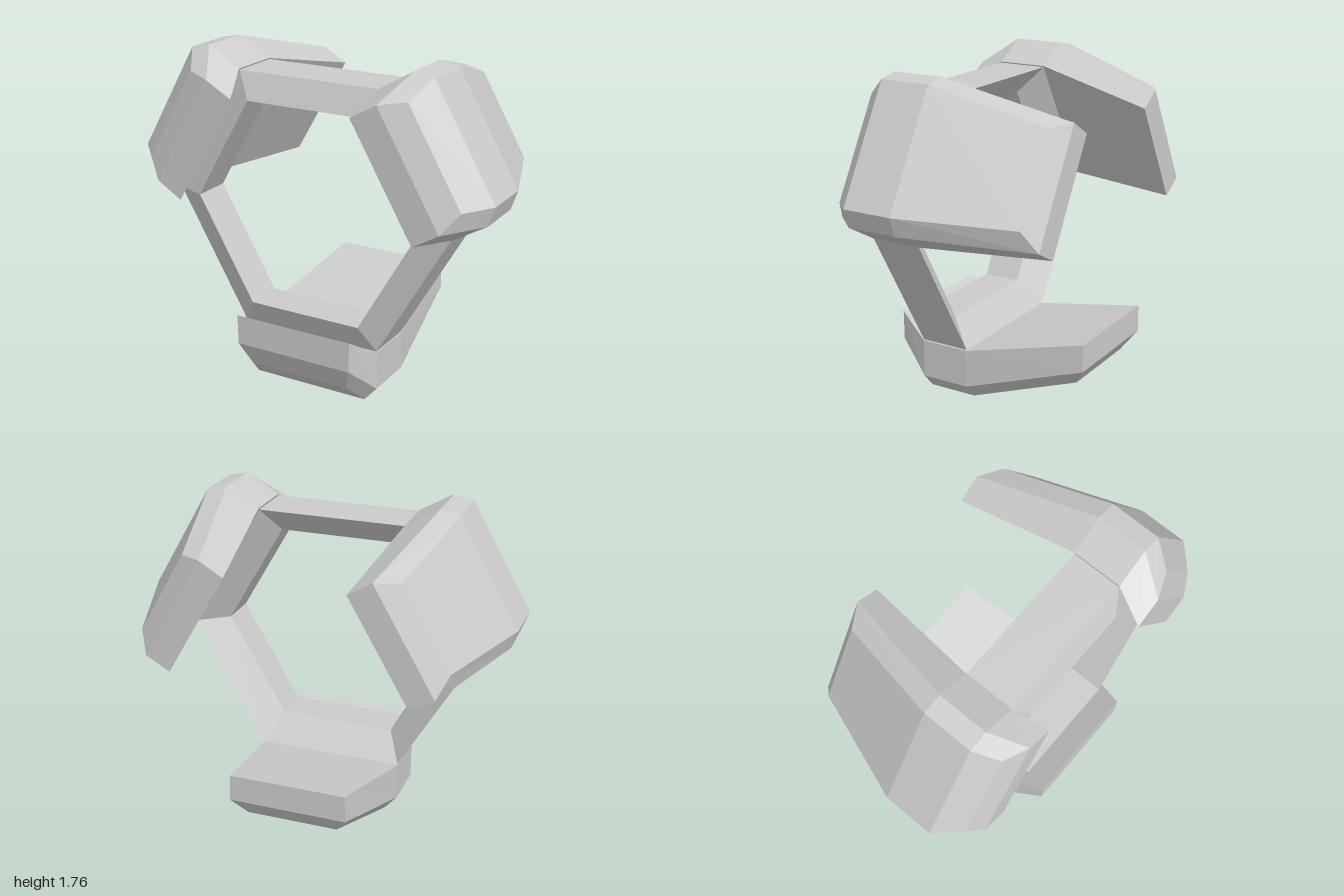
import * as THREE from 'three';

const material = new THREE.MeshStandardMaterial({ color: 0xcccccc, flatShading: true });

// Pad stations from front to back; each holds [z, radius, half width]
// for its inner edge, its side edge and its bevelled outer edge.
const stations = [
  [[0.545, 0.575, 0.332], [0.545, 0.735, 0.33], [0.49, 0.86, 0.28]],
  [[0.37, 0.685, 0.395], [0.37, 0.89, 0.395], [0.37, 0.97, 0.325]],
  [[0.1, 0.685, 0.395], [0.1, 0.89, 0.395], [0.1, 0.97, 0.325]],
  [[-0.545, 0.54, 0.312], [-0.545, 0.685, 0.315], [-0.475, 0.785, 0.245]],
];

function padGeometry() {
  const positions = [];
  const index = [];
  const quad = (a, b, c, d) => index.push(a, b, c, a, c, d);

  // Six-point loop: inner pair, then down one side and back up the other
  for (const [inner, side, outer] of stations) {
    const loop = [[inner, -1], [inner, 1], [side, 1], [outer, 1], [outer, -1], [side, -1]];
    for (const [[z, r, w], sign] of loop) positions.push(sign * w, -r, z);
  }
  for (let s = 0; s < stations.length - 1; s++) {
    for (let j = 0; j < 6; j++) {
      const k = (j + 1) % 6;
      quad(s * 6 + j, s * 6 + k, s * 6 + 6 + k, s * 6 + 6 + j);
    }
  }
  // Front and back ends, each an upright face and a bevel
  const b = (stations.length - 1) * 6;
  quad(0, 5, 2, 1);
  quad(5, 4, 3, 2);
  quad(b, b + 1, b + 2, b + 5);
  quad(b + 5, b + 2, b + 3, b + 4);

  const geometry = new THREE.BufferGeometry();
  geometry.setAttribute('position', new THREE.Float32BufferAttribute(positions, 3));
  geometry.setIndex(index);
  const flat = geometry.toNonIndexed();
  flat.computeVertexNormals();
  return flat;
}

function ringGeometry() {
  // Closed cross-section swept around six sides (corner radius, depth)
  const profile = [[0.785, 0.1], [0.785, 0.37], [0.628, 0.427], [0.628, 0.22], [0.785, 0.1]]
    .map(([r, z]) => new THREE.Vector2(r, z));
  return new THREE.LatheGeometry(profile, 6, Math.PI / 2).rotateX(Math.PI / 2);
}

export function createModel() {
  const model = new THREE.Group();
  model.name = 'hexagonalFrame';

  // Hexagonal ring
  const ring = new THREE.Mesh(ringGeometry(), material);
  ring.name = 'hexagonRing';
  ring.position.y = 0.97;
  model.add(ring);

  // Three armoured pads on alternate sides of the ring
  const geometry = padGeometry();
  ['bottomPad', 'leftPad', 'rightPad'].forEach((name, i) => {
    const pad = new THREE.Mesh(geometry, material);
    pad.name = name;
    pad.position.y = 0.97;
    pad.rotation.z = (i * Math.PI * 2) / 3;
    model.add(pad);
  });

  return model;
}
